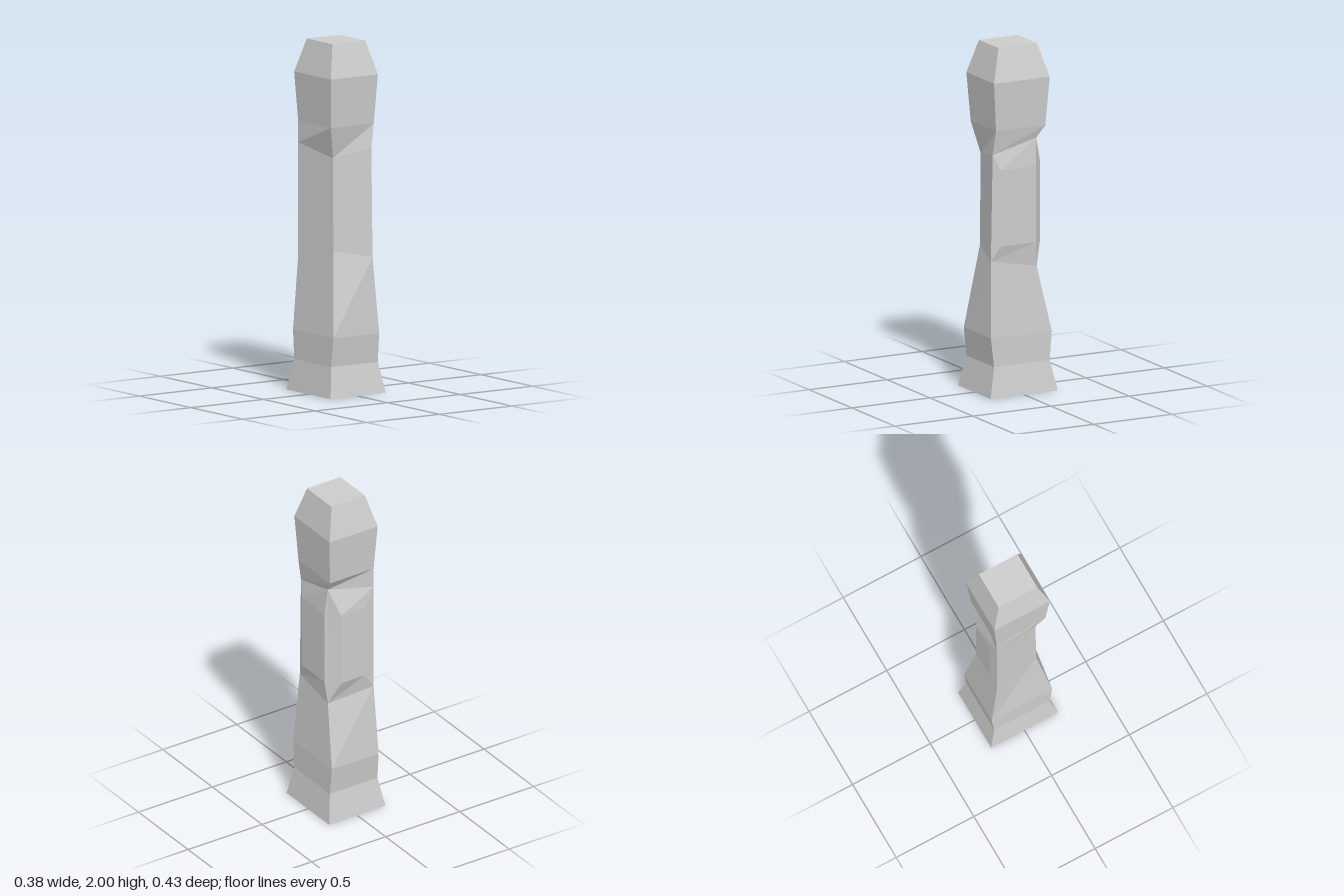
import * as THREE from 'three';

// Corner order of every ring: (+x,+z), (+x,-z), (-x,-z), (-x,+z)
const ring = (y, x, zf, zb = zf) => [[x, y, zf], [x, y, -zb], [-x, y, -zb], [-x, y, zf]];

export function createModel() {
  const pos = [];
  const quad = (a, b, c, d) => pos.push(...a, ...b, ...c, ...a, ...c, ...d);

  // Worn, uneven shaft between the base and the head
  const shaftLow = [[0.125, 0.775, 0.178], [0.13, 0.72, -0.112], [-0.15, 0.765, -0.156], [-0.105, 0.82, 0.122]];
  const shaftHigh = [[0.125, 1.39, 0.167], [0.13, 1.46, -0.11], [-0.15, 1.41, -0.156], [-0.105, 1.35, 0.118]];

  const rings = [
    ring(0, 0.19, 0.215),
    ring(0.175, 0.161, 0.178),
    ring(0.34, 0.158, 0.196, 0.194),
    shaftLow,
    shaftHigh,
    ring(1.53, 0.148, 0.158),
    ring(1.81, 0.162, 0.178),
    ring(2, 0.113, 0.124),
  ];

  // Raised panels on two shaft sides: lower left, lower right, upper right, upper left
  const panels = {
    0: [[0.145, 0.86, 0.125], [0.145, 0.86, -0.1], [0.145, 1.3, -0.1], [0.145, 1.3, 0.125]],
    1: [[0.075, 0.86, -0.165], [-0.084, 0.86, -0.165], [-0.084, 1.3, -0.165], [0.075, 1.3, -0.165]],
  };

  for (let r = 0; r < rings.length - 1; r++) {
    for (let i = 0; i < 4; i++) {
      const j = (i + 1) % 4;
      const outer = [rings[r][i], rings[r][j], rings[r + 1][j], rings[r + 1][i]];
      const panel = rings[r] === shaftLow && panels[i];
      if (!panel) { quad(...outer); continue; }
      quad(...panel);
      // Bevels from the shaft edges up to the panel
      for (let k = 0; k < 4; k++) {
        const n = (k + 1) % 4;
        quad(outer[k], outer[n], panel[n], panel[k]);
      }
    }
  }

  // Flat top and underside
  quad(...rings[rings.length - 1]);
  quad(...[...rings[0]].reverse());

  const geometry = new THREE.BufferGeometry();
  geometry.setAttribute('position', new THREE.Float32BufferAttribute(pos, 3));
  geometry.computeVertexNormals();

  const pillar = new THREE.Mesh(geometry, new THREE.MeshStandardMaterial({ color: 0xcccccc, flatShading: true }));
  pillar.name = 'pillar';
  const group = new THREE.Group();
  group.name = 'stonePost';
  group.add(pillar);
  return group;
}
